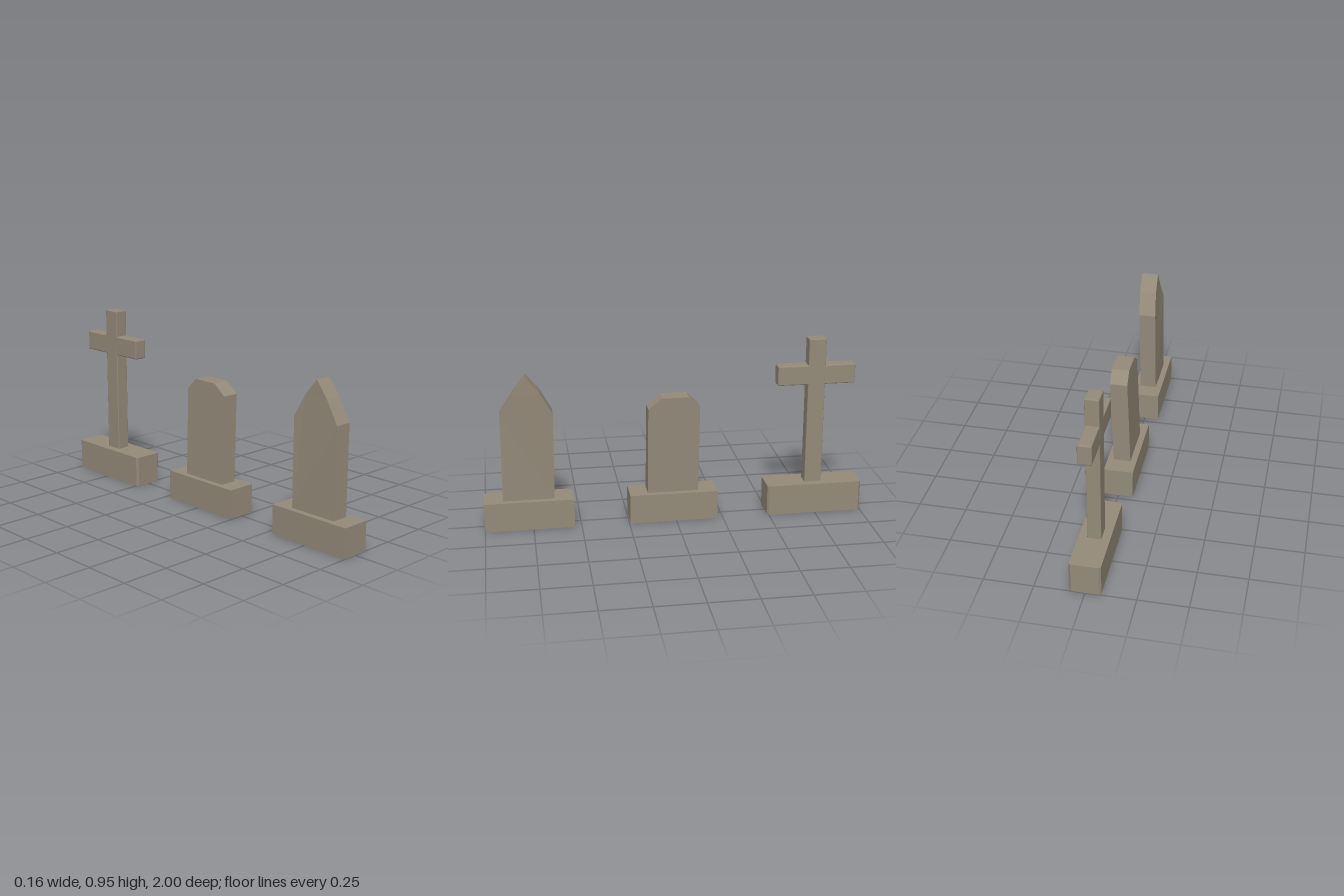
import * as THREE from 'three';
import { RoundedBoxGeometry } from 'three/addons/geometries/RoundedBoxGeometry.js';

const stone = new THREE.MeshStandardMaterial({ color: 0x948a79, flatShading: true });

function addMesh(parent, name, geometry, x = 0, y = 0, z = 0) {
  const mesh = new THREE.Mesh(geometry, stone);
  mesh.name = name;
  mesh.position.set(x, y, z);
  parent.add(mesh);
  return mesh;
}

// Upright slab from a [z, y] outline, tilted sideways by lean(y)
function slabGeometry(outline, thickness, lean) {
  const shape = new THREE.Shape(outline.map(([z, y]) => new THREE.Vector2(-z, y)));
  const geo = new THREE.ExtrudeGeometry(shape, { depth: thickness, bevelEnabled: false });
  geo.translate(0, 0, -thickness / 2).rotateY(Math.PI / 2);
  const pos = geo.attributes.position;
  for (let i = 0; i < pos.count; i++) pos.setX(i, pos.getX(i) + lean(pos.getY(i)));
  geo.computeVertexNormals();
  return geo;
}

// Headstone: plain plinth with a leaning slab
function headstone(name, z, outline, lean) {
  const group = new THREE.Group();
  group.name = name;
  group.position.z = z;
  addMesh(group, 'plinth', new THREE.BoxGeometry(0.154, 0.155, 0.464), 0, 0.0775, 0);
  addMesh(group, 'slab', slabGeometry(outline, 0.09, lean));
  return group;
}

// Block with chamfered vertical corners
function chamferedBlock(width, height, depth, c) {
  const w = width / 2, d = depth / 2;
  const shape = new THREE.Shape([
    [-w + c, -d], [w - c, -d], [w, -d + c], [w, d - c],
    [w - c, d], [-w + c, d], [-w, d - c], [-w, -d + c],
  ].map(([x, y]) => new THREE.Vector2(x, y)));
  return new THREE.ExtrudeGeometry(shape, { depth: height, bevelEnabled: false }).rotateX(-Math.PI / 2);
}

export function createModel() {
  const model = new THREE.Group();
  model.name = 'gravestones';

  // Pointed headstone at the front
  model.add(headstone('pointedHeadstone', 0.768, [
    [0.134, 0.15], [0.13, 0.62], [0.056, 0.735], [-0.008, 0.818],
    [-0.076, 0.735], [-0.138, 0.62], [-0.132, 0.15],
  ], (y) => (y < 0.63 ? (y - 0.15) * 0.018 : y < 0.74 ? 0.017 : 0.018)));

  // Clipped headstone in the middle
  model.add(headstone('clippedHeadstone', 0.012, [
    [0.136, 0.15], [0.132, 0.622], [0.06, 0.678],
    [-0.08, 0.678], [-0.137, 0.622], [-0.132, 0.15],
  ], (y) => (y - 0.15) * 0.034));

  // Cross on its plinth at the back
  const cross = new THREE.Group();
  cross.name = 'crossMonument';
  cross.position.z = -0.745;
  addMesh(cross, 'crossPlinth', chamferedBlock(0.156, 0.163, 0.51, 0.01));
  addMesh(cross, 'post', new RoundedBoxGeometry(0.07, 0.81, 0.091, 1, 0.004), 0, 0.546, 0);
  addMesh(cross, 'crossbar', new RoundedBoxGeometry(0.069, 0.105, 0.412, 1, 0.006), 0, 0.758, 0);
  model.add(cross);

  return model;
}
